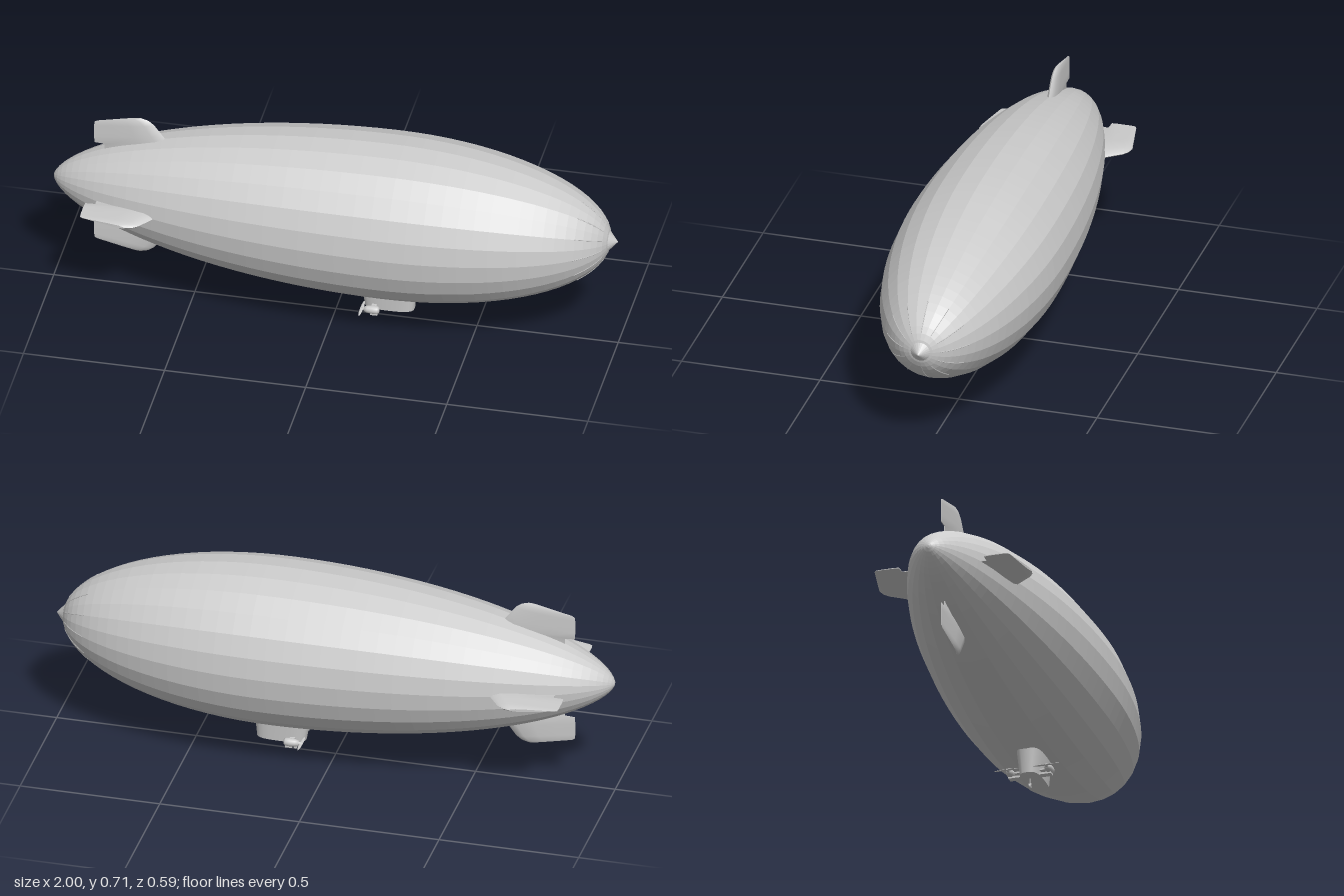
import * as THREE from 'three';
import { toCreasedNormals } from 'three/addons/utils/BufferGeometryUtils.js';

const AXIS_Y = 0.42, MAX_R = 0.295, MID_X = 0.2;
const material = new THREE.MeshStandardMaterial({ color: 0xcccccc });
const faceted = new THREE.MeshStandardMaterial({ color: 0xcccccc, flatShading: true });

function add(parent, name, geometry, x = 0, y = 0, z = 0, mat = material) {
  const mesh = new THREE.Mesh(geometry, mat);
  mesh.name = name;
  mesh.position.set(x, y, z);
  parent.add(mesh);
  return mesh;
}

// Skin a stack of closed rings (counter-clockwise seen from the far end) and cap both ends
function loft(rings, crease) {
  const n = rings[0].length, last = (rings.length - 1) * n;
  const centre = ring => ring.reduce((s, p) => s.add(p), new THREE.Vector3()).divideScalar(n);
  const points = [...rings.flat(), centre(rings[0]), centre(rings[rings.length - 1])];
  const index = [];
  for (let j = 0; j < n; j++) {
    const k = (j + 1) % n;
    for (let i = 0; i < last; i += n) {
      index.push(i + j, i + k, i + n + k, i + j, i + n + k, i + n + j);
    }
    index.push(last + n, k, j, last + n + 1, last + j, last + k);
  }
  const geometry = new THREE.BufferGeometry().setFromPoints(points);
  geometry.setIndex(index);
  return toCreasedNormals(geometry, crease);
}

// Envelope radius: blunt elliptical bow, more tapered stern
function hullRadius(x) {
  const t = x > MID_X ? (x - MID_X) / 0.775 : (MID_X - x) / 1.2;
  return MAX_R * Math.pow(Math.max(0, 1 - t * t), x > MID_X ? 0.5 : 0.62);
}

function makeEnvelope(group) {
  const profile = [];
  for (let i = 0; i <= 48; i++) {
    const x = -0.0125 - 0.9875 * Math.cos((i / 48) * Math.PI);
    profile.push(new THREE.Vector2(hullRadius(x), x));
  }
  profile[0].x = profile[48].x = 0;
  const hull = new THREE.LatheGeometry(profile, 24).rotateZ(-Math.PI / 2);
  add(group, 'envelope', hull, 0, AXIS_Y, 0, faceted);

  // Nose cone
  const nose = new THREE.ConeGeometry(0.036, 0.032, 24).rotateZ(-Math.PI / 2);
  add(group, 'noseCone', nose, 0.984, AXIS_Y, 0, faceted);

  // Slim battens radiating from the nose
  for (let i = 0; i < 12; i++) {
    const a = (i / 12) * Math.PI * 2;
    const path = [0.87, 0.9, 0.93, 0.955].map(x => {
      const r = hullRadius(x);
      return new THREE.Vector3(x, r * Math.cos(a), r * Math.sin(a));
    });
    const tube = new THREE.TubeGeometry(new THREE.CatmullRomCurve3(path), 8, 0.0015, 5);
    add(group, 'noseBatten', tube, 0, AXIS_Y, 0);
  }
}

function makeFins(group) {
  // Half-thickness of the aerofoil from leading (0) to trailing edge (1)
  const foil = [[0.04, 0.55], [0.15, 1], [0.4, 0.85], [0.7, 0.45], [1, 0.1]];
  const outline = [[0, 0], ...foil.map(([u, t]) => [u, -t]), ...foil.map(([u, t]) => [u, t]).reverse()];
  // Leading x and height, trailing x and height, half thickness
  const stations = [
    [-0.59, 0.12, -0.82, 0.1, 0.014],
    [-0.59, 0.17, -0.82, 0.153, 0.014],
    [-0.595, 0.19, -0.855, 0.155, 0.014],
    [-0.615, 0.215, -0.857, 0.18, 0.013],
    [-0.645, 0.255, -0.857, 0.225, 0.011],
    [-0.665, 0.27, -0.855, 0.24, 0.009],
    [-0.69, 0.277, -0.845, 0.246, 0.005],
  ];
  const rings = stations.map(([lx, ly, tx, ty, h]) => outline.map(([u, t]) =>
    new THREE.Vector3(lx + (tx - lx) * u, ly + (ty - ly) * u, t * h)));
  const fin = loft(rings, 0.7);
  ['topFin', 'leftFin', 'bottomFin', 'rightFin'].forEach((name, i) => {
    add(group, name, fin, 0, AXIS_Y, 0).rotation.x = (i * Math.PI) / 2;
  });
}

function makeGondola(group) {
  // Height, rear x, front x, half width
  const levels = [
    [0.035, 0.13, 0.26, 0.004],
    [0.043, 0.105, 0.28, 0.038],
    [0.15, 0.087, 0.289, 0.048],
  ];
  const rounded = v => Math.sign(v) * Math.pow(Math.abs(v), 0.65);
  const rings = levels.map(([y, x0, x1, w]) => Array.from({ length: 24 }, (_, i) => {
    const a = (i / 24) * Math.PI * 2;
    return new THREE.Vector3(
      (x0 + x1) / 2 + ((x1 - x0) / 2) * rounded(Math.cos(a)), y, -w * rounded(Math.sin(a)));
  }));
  add(group, 'gondola', loft(rings, 0.6));

  // Landing wheel on a short strut
  add(group, 'wheelStrut', new THREE.CylinderGeometry(0.002, 0.002, 0.034, 8), 0.145, 0.027, 0);
  add(group, 'wheelFork', new THREE.BoxGeometry(0.005, 0.006, 0.009), 0.145, 0.014, 0);
  add(group, 'wheel', new THREE.CylinderGeometry(0.007, 0.007, 0.006, 16).rotateX(Math.PI / 2), 0.145, 0.007, 0);
}

function makeEngine(side) {
  const engine = new THREE.Group();
  engine.name = side > 0 ? 'leftEngine' : 'rightEngine';
  // Nacelle along x with a tapered rear
  const profile = [[0, -0.028], [0.009, -0.027], [0.013, -0.015], [0.015, 0.005], [0.014, 0.02], [0.009, 0.026], [0, 0.027]]
    .map(([r, y]) => new THREE.Vector2(r, y));
  const nacelle = new THREE.LatheGeometry(profile, 16).rotateZ(-Math.PI / 2);
  add(engine, 'nacelle', nacelle, 0.142, 0.062, 0.07 * side);
  // Pusher propeller
  add(engine, 'propellerHub', new THREE.CylinderGeometry(0.006, 0.003, 0.014, 12).rotateZ(-Math.PI / 2), 0.108, 0.062, 0.07 * side);
  const blade = new THREE.SphereGeometry(1, 12, 8).scale(0.006, 0.002, 0.05);
  add(engine, 'propellerBlades', blade, 0.106, 0.062, 0.07 * side);
  // Pylon and lower step
  add(engine, 'pylon', new THREE.BoxGeometry(0.018, 0.006, 0.04), 0.145, 0.062, 0.046 * side);
  add(engine, 'step', new THREE.BoxGeometry(0.025, 0.007, 0.045), 0.15, 0.047, 0.055 * side);
  return engine;
}

export function createModel() {
  const group = new THREE.Group();
  group.name = 'airship';
  makeEnvelope(group);
  makeFins(group);
  makeGondola(group);
  for (const side of [1, -1]) group.add(makeEngine(side));
  return group;
}
